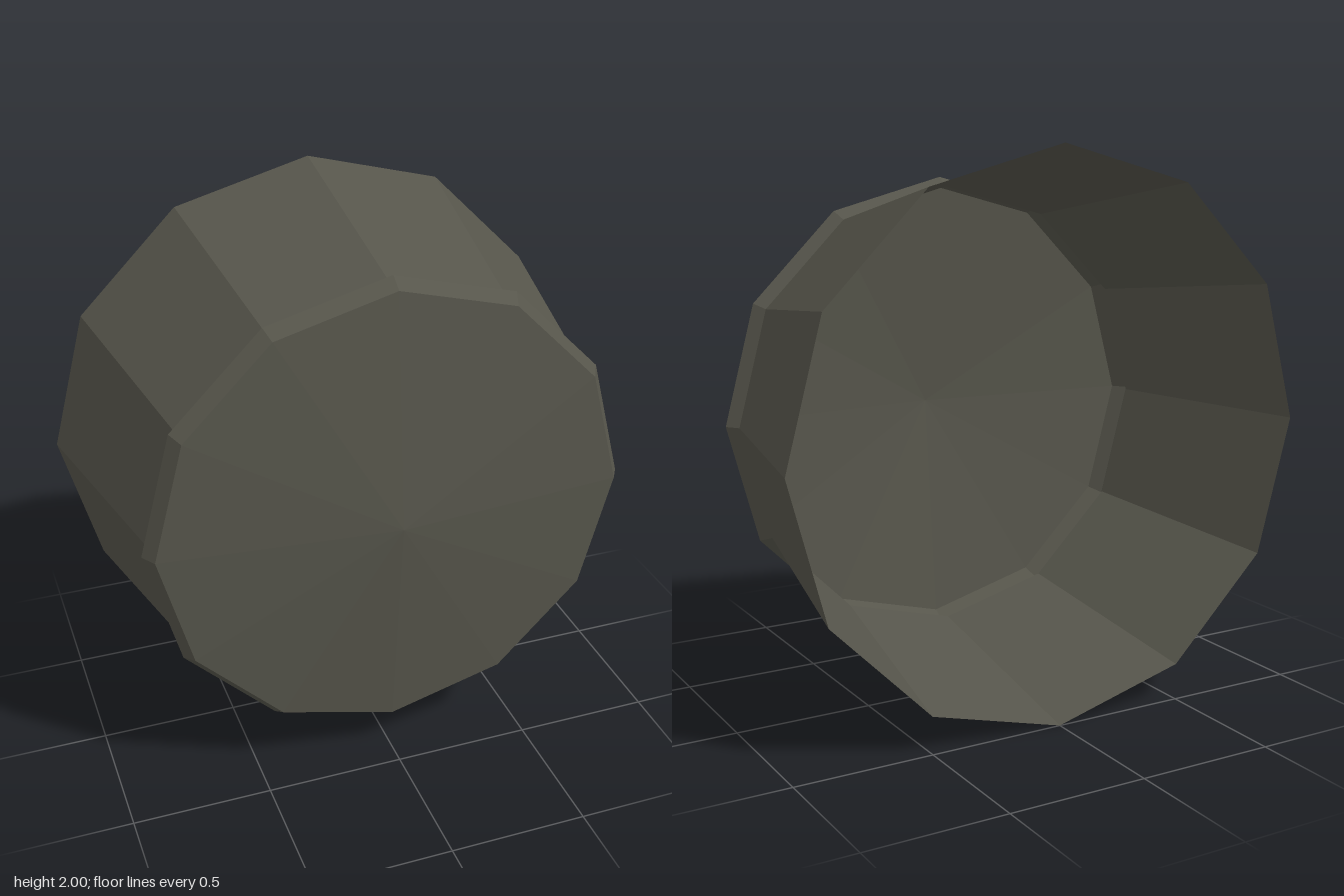
import * as THREE from 'three';

const SIDES = 12;

// Open-backed twelve-sided cup whose axis runs along z
export function createModel() {
  const group = new THREE.Group();
  group.name = 'facetedCup';

  const darkOlive = new THREE.MeshStandardMaterial({
    color: 0x56554b, flatShading: true, side: THREE.DoubleSide,
  });
  darkOlive.name = 'dark olive grey';

  // Each profile is a list of [radius, z] pairs, from back to front
  function addRing(name, profile) {
    const points = profile.map(([r, z]) => new THREE.Vector2(r, z));
    const geometry = new THREE.LatheGeometry(points, SIDES);
    geometry.rotateX(Math.PI / 2);
    const mesh = new THREE.Mesh(geometry, darkOlive);
    mesh.name = name;
    mesh.position.y = 1;
    group.add(mesh);
  }

  // Flared wall, open at the back
  addRing('flaredWall', [[1, -0.5], [0.838, 0.32]]);
  // Ridge around the front edge
  addRing('rimRidge', [[0.838, 0.32], [0.872, 0.367], [0.838, 0.42]]);
  // Shallow pointed front
  addRing('frontCap', [[0.838, 0.42], [0, 0.5]]);

  return group;
}
